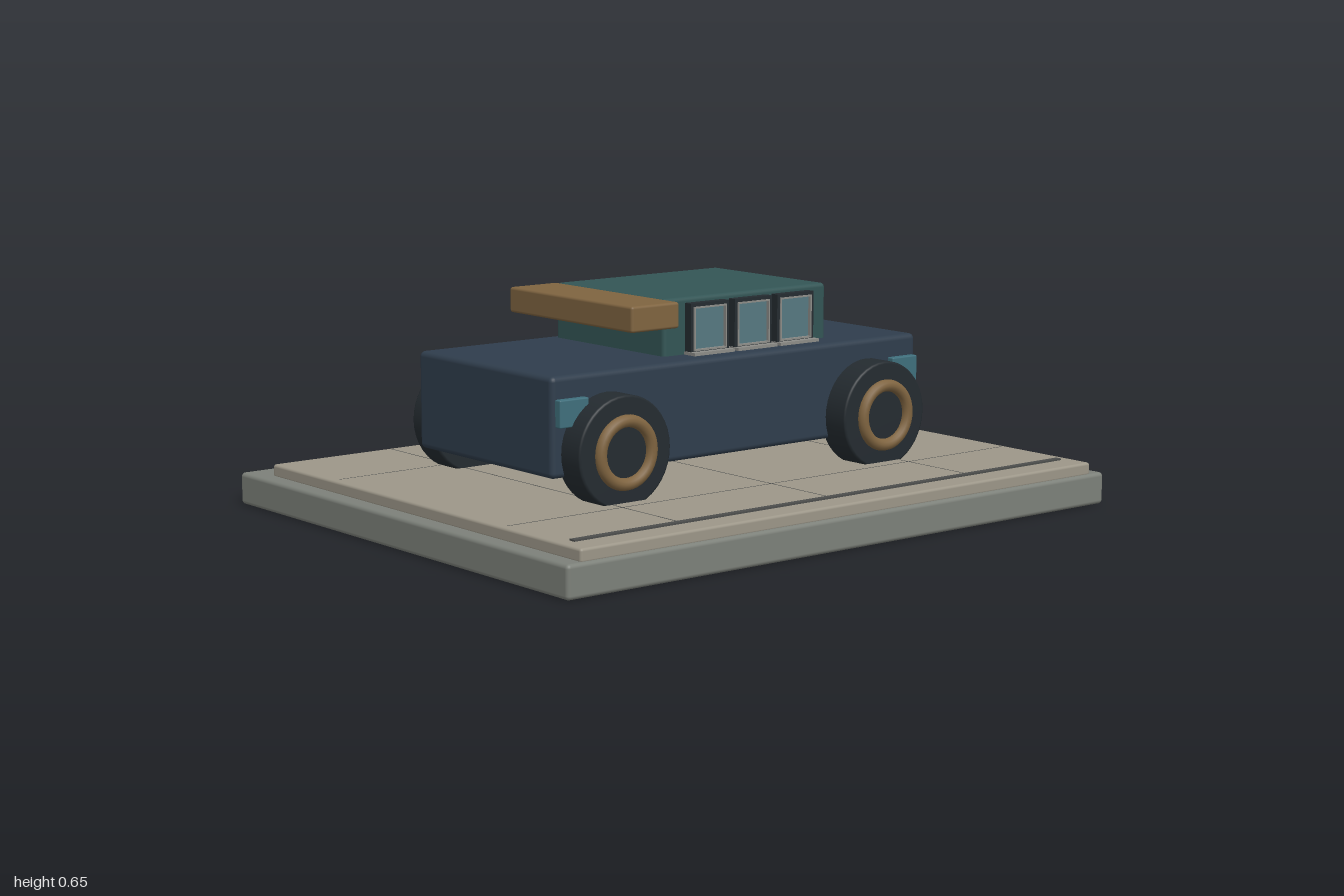
import * as THREE from 'three';
import { RoundedBoxGeometry } from 'three/addons/geometries/RoundedBoxGeometry.js';

const mat = (color) => new THREE.MeshStandardMaterial({ color });
const M = {
  stone: mat(0x7c8079), plate: mat(0x9c9688), body: mat(0x2f3d4c), cabin: mat(0x335555),
  tan: mat(0x7f6440), tyre: mat(0x242b30), lamp: mat(0x3f6f7c), glass: mat(0x567880),
  trim: mat(0x8c8c88), seam: mat(0x4c4e4c),
};

export function createModel() {
  const group = new THREE.Group();

  const add = (name, geometry, material, parent = group) => {
    const mesh = new THREE.Mesh(geometry, material);
    mesh.name = name;
    parent.add(mesh);
    return mesh;
  };

  // Box given by its extents on each axis; r > 0 rounds the edges
  const box = (name, material, [x0, x1], [y0, y1], [z0, z1], r = 0, parent = group) => {
    const s = [x1 - x0, y1 - y0, z1 - z0];
    const geometry = r ? new RoundedBoxGeometry(...s, 3, r) : new THREE.BoxGeometry(...s);
    const mesh = add(name, geometry, material, parent);
    mesh.position.set((x0 + x1) / 2, (y0 + y1) / 2, (z0 + z1) / 2);
    return mesh;
  };

  // Display base, ground plate, seams and front groove line
  box('base', M.stone, [-1, 1], [0, 0.095], [-0.81, 0.81], 0.012);
  box('groundPlate', M.plate, [-0.95, 0.95], [0.09, 0.129], [-0.705, 0.8], 0.008);
  for (const x of [-0.54, 0, 0.54])
    box('groundSeam', M.seam, [x - 0.002, x + 0.002], [0.12, 0.1292], [-0.69, 0.69]);
  for (const z of [-0.38, 0.45])
    box('groundSeam', M.seam, [-0.93, 0.93], [0.12, 0.1292], [z - 0.002, z + 0.002]);
  box('groundLine', M.seam, [-0.91, 0.91], [0.12, 0.134], [0.7, 0.72]);

  // Body, cabin and overhanging visor
  box('body', M.body, [-0.685, 0.685], [0.203, 0.488], [-0.322, 0.322], 0.016);
  box('cabin', M.cabin, [-0.21, 0.41], [0.45, 0.653], [-0.29, 0.22], 0.012);
  box('visor', M.tan, [-0.38, -0.208], [0.578, 0.653], [-0.292, 0.29], 0.008);

  // Wheels: tyre turned from a profile with softened edges, plus a rim ring
  const tyreProfile = [
    [0, -0.052], [0.153, -0.052], [0.158, -0.05], [0.16, -0.045],
    [0.16, 0.045], [0.158, 0.05], [0.153, 0.052], [0, 0.052],
  ].map(([r, y]) => new THREE.Vector2(r, y));
  const tyreGeometry = new THREE.LatheGeometry(tyreProfile, 40).rotateX(Math.PI / 2);
  const rimGeometry = new THREE.TorusGeometry(0.089, 0.018, 12, 40);
  for (const x of [-0.493, 0.483]) {
    for (const side of [-1, 1]) {
      const wheel = new THREE.Group();
      wheel.name = 'wheel';
      wheel.position.set(x, 0.27, side * 0.353);
      add('tyre', tyreGeometry, M.tyre, wheel);
      add('rim', rimGeometry, M.tan, wheel).position.z = side * 0.054;
      group.add(wheel);
    }
  }

  // Side lamps
  for (const x of [-0.622, 0.622])
    box('sideLamp', M.lamp, [x - 0.05, x + 0.05], [0.347, 0.425], [0.31, 0.344], 0.004);

  // Rectangular ring used for window frames
  const frameGeometry = (w, h, t, depth) => {
    const rect = (P, a, b) => new P([
      new THREE.Vector2(-a, -b), new THREE.Vector2(a, -b),
      new THREE.Vector2(a, b), new THREE.Vector2(-a, b),
    ]);
    const shape = rect(THREE.Shape, w / 2, h / 2);
    shape.holes.push(rect(THREE.Path, w / 2 - t, h / 2 - t));
    return new THREE.ExtrudeGeometry(shape, { depth, bevelEnabled: false });
  };

  // Three side windows with frame, thin trim, glass and sill
  const outerFrame = frameGeometry(0.142, 0.148, 0.014, 0.032);
  const innerTrim = frameGeometry(0.122, 0.128, 0.005, 0.036);
  for (const x of [-0.06, 0.104, 0.267]) {
    const window = new THREE.Group();
    window.name = 'sideWindow';
    window.position.set(x, 0.563, 0.215);
    add('windowFrame', outerFrame, M.tyre, window);
    add('windowTrim', innerTrim, M.trim, window);
    box('windowGlass', M.glass, [-0.06, 0.06], [-0.062, 0.062], [0, 0.026], 0, window);
    box('windowSill', M.trim, [-0.075, 0.075], [-0.078, -0.066], [0, 0.054], 0, window);
    group.add(window);
  }

  return group;
}
